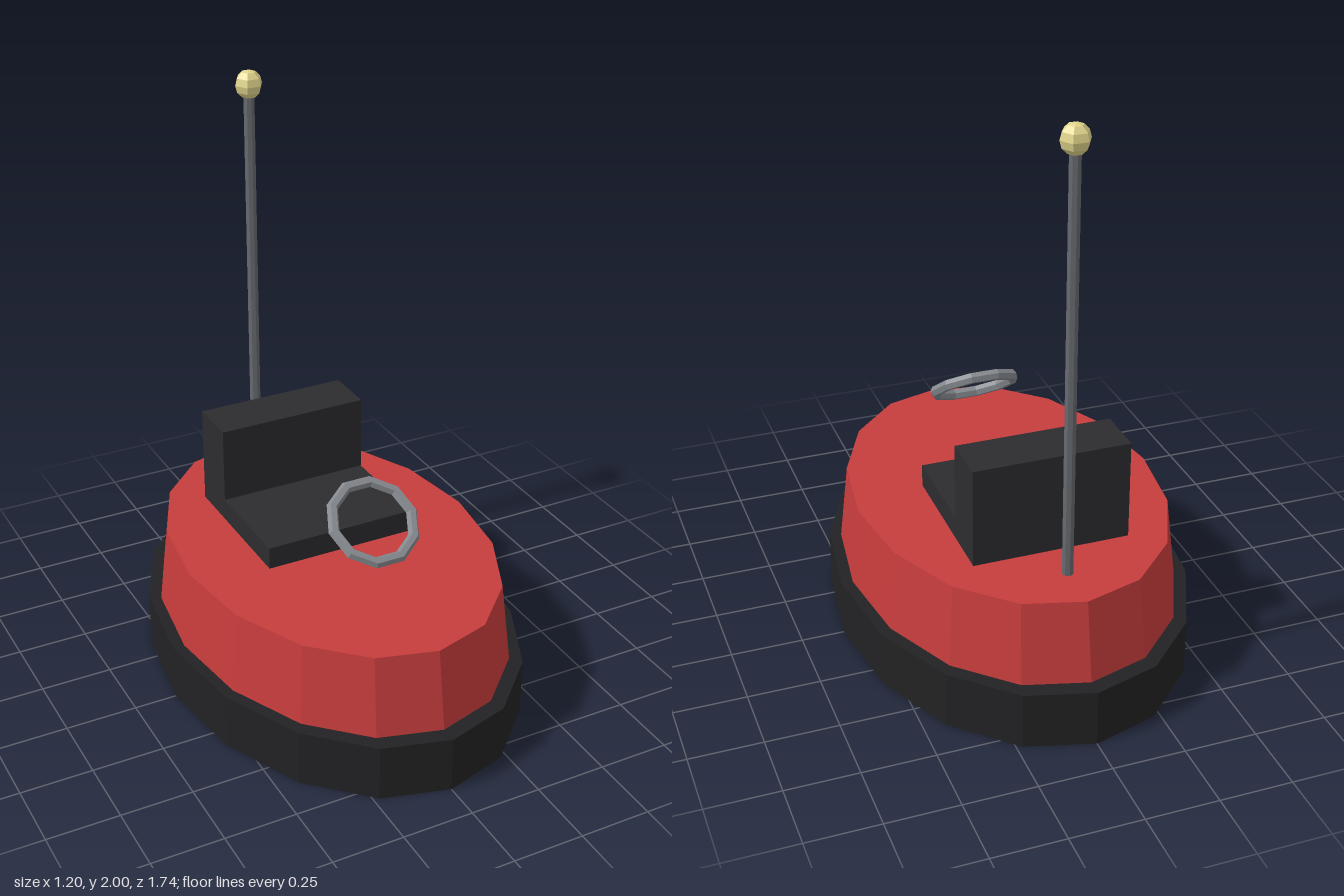
import * as THREE from 'three';

const material = (color) => new THREE.MeshStandardMaterial({ color, flatShading: true });

export function createModel() {
  const car = new THREE.Group();
  car.name = 'bumperCar';

  const black = material(0x222224);
  const red = material(0xc63c3c);
  const seatBlack = material(0x2c2c2f);
  const steel = material(0x85898e);
  const poleGrey = material(0x66696e);
  const brass = material(0xe0d48c);

  const add = (name, geometry, mat, x, y, z, parent = car) => {
    const mesh = new THREE.Mesh(geometry, mat);
    mesh.name = name;
    mesh.position.set(x, y, z);
    parent.add(mesh);
    return mesh;
  };

  // Sixteen-sided oval drum, lengthened along z
  const oval = (topRadius, bottomRadius, height) =>
    new THREE.CylinderGeometry(topRadius, bottomRadius, height, 16).scale(1, 1, 1.45);

  // Rubber bumper and tapered body
  add('bumper', oval(0.6, 0.6, 0.2), black, 0, 0.1, 0);
  add('body', oval(0.53, 0.56, 0.28), red, 0, 0.34, 0);

  // Bench seat
  const seat = new THREE.Group();
  seat.name = 'seat';
  car.add(seat);
  add('seatCushion', new THREE.BoxGeometry(0.545, 0.08, 0.365), seatBlack, 0, 0.52, -0.0925, seat);
  add('seatBack', new THREE.BoxGeometry(0.545, 0.35, 0.18), seatBlack, 0, 0.655, -0.365, seat);

  // Steering ring, leaning away from the driver
  const wheel = add('steeringWheel', new THREE.TorusGeometry(0.145, 0.02, 6, 10), steel, 0, 0.715, 0.32);
  wheel.rotation.x = -0.9;

  // Rear power pole with a ball on top
  add('pole', new THREE.CylinderGeometry(0.02, 0.02, 1.45, 8), poleGrey, 0, 1.205, -0.595);
  add('poleBall', new THREE.SphereGeometry(0.05, 6, 6), brass, 0, 1.95, -0.595);

  return car;
}
